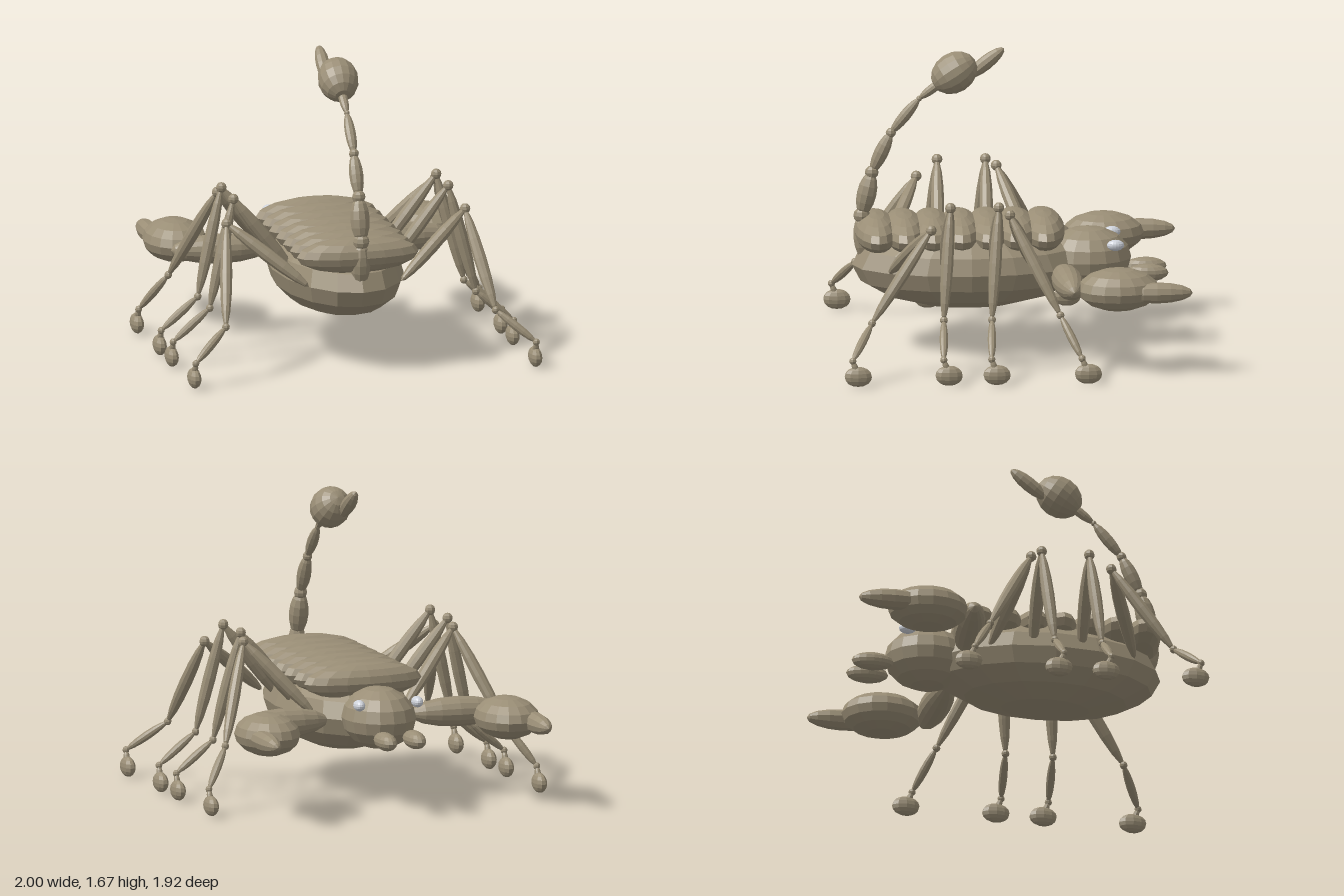
import * as THREE from 'three';

export function createModel() {
  const model = new THREE.Group();
  const shell = new THREE.MeshStandardMaterial({ color: 0x9a8e76, flatShading: true });
  shell.name = 'shell';
  const eyeWhite = new THREE.MeshStandardMaterial({ color: 0xced2da, flatShading: true });
  eyeWhite.name = 'eyeWhite';

  const roundGeo = new THREE.SphereGeometry(1, 16, 8);
  const limbGeo = new THREE.SphereGeometry(1, 10, 8);
  const jointGeo = new THREE.SphereGeometry(1, 8, 6);
  const up = new THREE.Vector3(0, 1, 0);

  function add(name, geo, pos, scale, material = shell, parent = model) {
    const mesh = new THREE.Mesh(geo, material);
    mesh.name = name;
    mesh.position.set(...pos);
    mesh.scale.set(...scale);
    parent.add(mesh);
    return mesh;
  }
  const blob = (name, pos, scale, material, parent) => add(name, roundGeo, pos, scale, material, parent);
  const ball = (name, pos, r, parent) => add(name, jointGeo, pos, [r, r, r], shell, parent);

  // Spindle whose poles sit on the two end points
  function spindle(name, a, b, r, parent, geo = limbGeo) {
    const start = new THREE.Vector3(...a), end = new THREE.Vector3(...b);
    const dir = end.clone().sub(start);
    const mid = start.add(end).multiplyScalar(0.5);
    const mesh = add(name, geo, mid.toArray(), [r, dir.length() / 2, r], shell, parent);
    mesh.quaternion.setFromUnitVectors(up, dir.normalize());
    return mesh;
  }

  // Belly, back plates and head
  blob('belly', [0, 0.475, 0.22], [0.355, 0.24, 0.64]);
  for (let i = 0; i < 7; i++) {
    blob('backPlate', [0, 0.662, -0.19 + i * 0.153], [0.345, 0.101, 0.118]);
  }
  blob('head', [0, 0.5, -0.435], [0.2, 0.172, 0.238]);

  // Tail: spindles joined by balls
  const tail = new THREE.Group();
  tail.name = 'tail';
  model.add(tail);
  const tailPoints = [[0, 0.5, 0.785], [0, 0.75, 0.805], [0, 0.99, 0.75], [0, 1.21, 0.645], [0, 1.4, 0.49], [0, 1.52, 0.33]];
  const tailRadii = [0.057, 0.055, 0.04, 0.031, 0.026];
  const jointRadii = [0.052, 0.046, 0.038, 0.028, 0.016];
  tailRadii.forEach((r, i) => {
    spindle('tailSegment', tailPoints[i], tailPoints[i + 1], r, tail);
    ball('tailJoint', tailPoints[i], jointRadii[i], tail);
  });
  spindle('stingerBulb', [0, 1.47, 0.41], [0, 1.615, 0.185], 0.112, tail, roundGeo);
  spindle('stinger', [-0.04, 1.505, 0.225], [-0.04, 1.667, 0.022], 0.04, tail);

  // Leg joints: hip, knee, shin end, ankle, foot centre (left side)
  const legs = [
    [[0.26, 0.48, -0.14], [0.615, 0.88, 0.03], [0.823, 0.36, -0.235], [0.962, 0.148, -0.345], [0.963, 0.062, -0.38]],
    [[0.26, 0.48, 0.1], [0.607, 0.92, 0.09], [0.752, 0.325, 0.136], [0.962, 0.15, 0.15], [0.963, 0.062, 0.121]],
    [[0.26, 0.48, 0.37], [0.607, 0.92, 0.355], [0.752, 0.325, 0.4], [0.962, 0.15, 0.413], [0.963, 0.062, 0.384]],
    [[0.26, 0.48, 0.67], [0.674, 0.812, 0.465], [0.762, 0.315, 0.795], [0.962, 0.15, 0.912], [0.963, 0.062, 0.882]],
  ];

  for (const s of [1, -1]) {
    const side = s > 0 ? 'left' : 'right';
    const m = ([x, y, z]) => [x * s, y, z];

    // Eyes and mouthparts
    blob(side + 'Eye', m([0.17, 0.6, -0.577]), [0.031, 0.031, 0.048], eyeWhite);
    blob(side + 'Mouthpart', m([0.085, 0.425, -0.755]), [0.053, 0.05, 0.117]);

    // Pincer arm
    const arm = new THREE.Group();
    arm.name = side + 'Pincer';
    model.add(arm);
    spindle('upperArm', m([0.24, 0.475, -0.275]), m([0.788, 0.475, -0.315]), 0.084, arm, roundGeo);
    blob('claw', m([0.703, 0.475, -0.56]), [0.175, 0.118, 0.225], shell, arm);
    spindle('clawFinger', m([0.795, 0.472, -0.57]), m([0.795, 0.472, -0.962]), 0.058, arm);

    // Walking legs
    for (const points of legs) {
      const leg = new THREE.Group();
      leg.name = side + 'Leg';
      model.add(leg);
      const [hip, knee, shin, ankle, foot] = points.map(m);
      spindle('thigh', hip, knee, 0.038, leg);
      spindle('shin', knee, shin, 0.035, leg);
      spindle('lowerShin', shin, ankle, 0.024, leg);
      spindle('ankleLink', ankle, foot, 0.018, leg);
      ball('knee', knee, 0.03, leg);
      ball('shinJoint', shin, 0.022, leg);
      ball('ankle', ankle, 0.02, leg);
      add('foot', limbGeo, foot, [0.036, 0.056, 0.078], shell, leg);
    }
  }
  return model;
}
